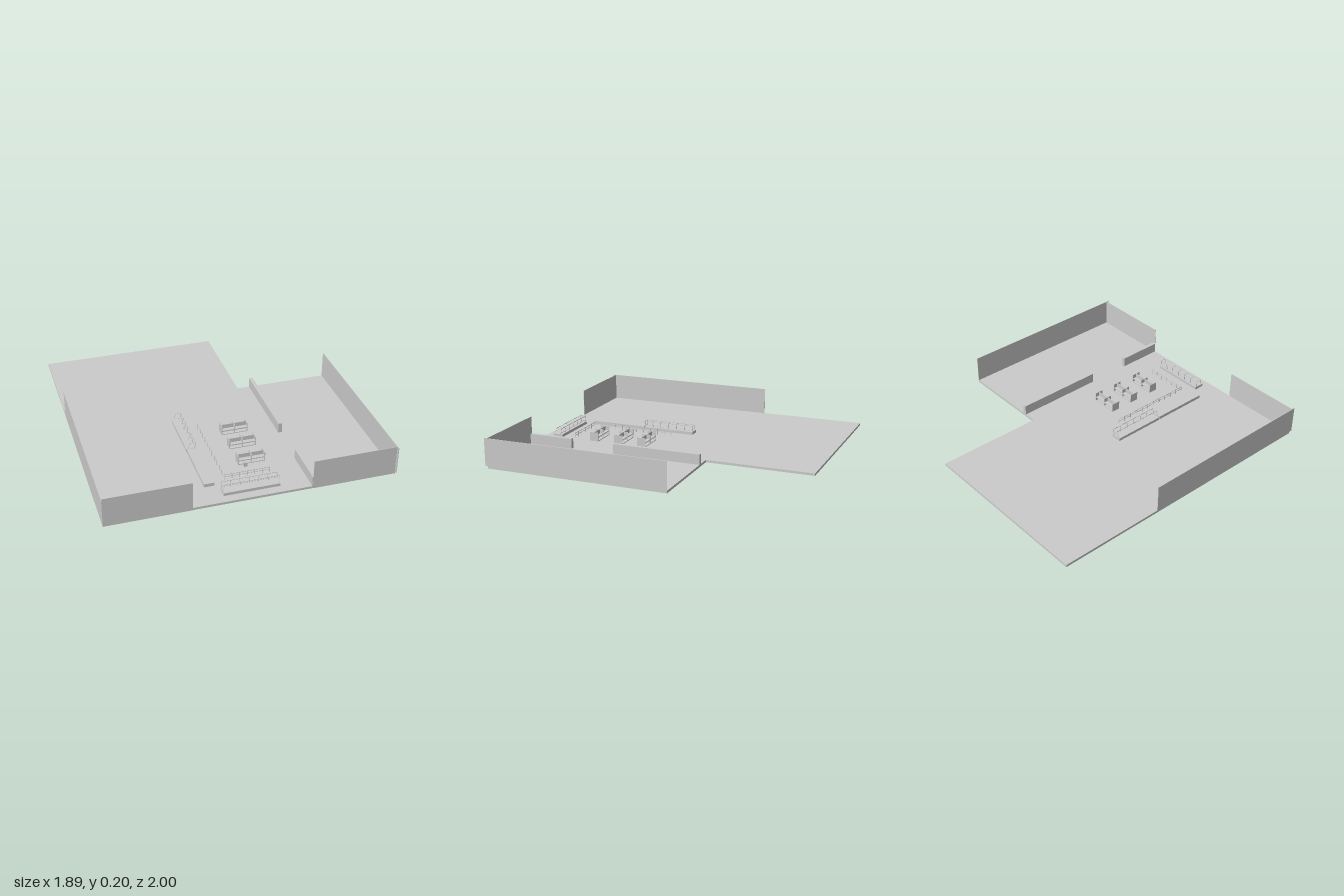
import * as THREE from 'three';

const FLOOR = 0.016;
const material = new THREE.MeshStandardMaterial({ color: 0xcccccc, flatShading: true, side: THREE.DoubleSide });

// Box given by its lower and upper limits on each axis
function box(parent, name, x0, x1, y0, y1, z0, z1) {
  const mesh = new THREE.Mesh(new THREE.BoxGeometry(x1 - x0, y1 - y0, z1 - z0), material);
  mesh.position.set((x0 + x1) / 2, (y0 + y1) / 2, (z0 + z1) / 2);
  mesh.name = name;
  parent.add(mesh);
  return mesh;
}

// Thin square bar between two points
function bar(parent, name, a, b, t = 0.003) {
  const from = new THREE.Vector3(...a), to = new THREE.Vector3(...b);
  const mesh = new THREE.Mesh(new THREE.BoxGeometry(t, t, from.distanceTo(to)), material);
  mesh.position.copy(from).lerp(to, 0.5);
  mesh.lookAt(to);
  mesh.name = name;
  parent.add(mesh);
}

function group(parent, name) {
  const g = new THREE.Group();
  g.name = name;
  parent.add(g);
  return g;
}

// Serving counter along local x; the customer side faces local -z
function servingCounter(parent, length) {
  const g = group(parent, 'servingCounter');
  const h = length / 2, top = 0.078;
  box(g, 'counterBase', -h, h, FLOOR, 0.036, -0.035, 0.035);
  const bays = 6;
  for (let i = 0; i <= bays; i++) {
    const x = -h + 0.002 + (length - 0.004) * i / bays;
    bar(g, 'guardPost', [x, 0.036, -0.022], [x, top, -0.03]);
    bar(g, 'guardBracket', [x, top, -0.03], [x, top, 0.008], 0.002);
  }
  for (const z of [-0.03, 0.008]) bar(g, 'guardRail', [-h, top, z], [h, top, z]);
  bar(g, 'trayRail', [-h, 0.045, -0.024], [h, 0.045, -0.024], 0.002);
  for (const x of [-h + 0.002, h - 0.002]) bar(g, 'rearPost', [x, 0.036, 0.024], [x, top, 0.008], 0.002);
  return g;
}

// Two-sided shelf unit with a central back panel and dividers
function shelfUnit(parent, z) {
  const g = group(parent, 'shelfUnit');
  const x0 = 0.012, x1 = 0.193, d = 0.031, t = 0.002;
  box(g, 'backPanel', x0, x1, FLOOR, 0.078, z - t, z + t);
  for (const x of [x0 + t, (x0 + x1) / 2, x1 - t]) box(g, 'divider', x - t, x + t, FLOOR, 0.078, z - d, z + d);
  for (const y of [FLOOR, 0.044]) box(g, 'shelf', x0, x1, y, y + 0.005, z - d, z + d);
}

// Queue railing between two floor points
function railing(parent, x0, z0, x1, z1, posts) {
  const g = group(parent, 'queueRailing');
  for (let i = 0; i <= posts; i++) {
    const x = x0 + (x1 - x0) * i / posts, z = z0 + (z1 - z0) * i / posts;
    bar(g, 'railingPost', [x, FLOOR, z], [x, 0.054, z]);
  }
  for (const y of [0.036, 0.052]) bar(g, 'rail', [x0, y, z0], [x1, y, z1]);
}

export function createModel() {
  const model = new THREE.Group();
  model.name = 'diningHall';

  // L-shaped floor slab
  const plan = [[-0.945, -1], [0.298, -1], [0.298, -0.265], [0.945, -0.265], [0.945, 0.98], [-0.945, 0.98]];
  const outline = new THREE.Shape(plan.map(([x, z]) => new THREE.Vector2(x, -z)));
  const floorGeometry = new THREE.ExtrudeGeometry(outline, { depth: FLOOR, bevelEnabled: false });
  const floor = new THREE.Mesh(floorGeometry.rotateX(-Math.PI / 2), material);
  floor.name = 'floor';
  model.add(floor);

  // Outer walls, mirrored about the wide entrance
  for (const s of [-1, 1]) {
    const side = s < 0 ? 'right' : 'left';
    const x = s * 0.945;
    box(model, side + 'SideWall', x - 0.002, x + 0.002, FLOOR, 0.203, -0.265, 1);
    box(model, side + 'FrontWall', Math.min(x, s * 0.388), Math.max(x, s * 0.388), 0, 0.203, 0.979, 0.982);
  }

  // Low partitions with a passage between them
  box(model, 'rearPartition', 0.384, 0.41, FLOOR, 0.085, -0.265, 0.353);
  box(model, 'frontPartition', 0.384, 0.41, FLOOR, 0.085, 0.663, 0.978);

  // Serving counters and the plain worktop
  servingCounter(model, 0.37).position.set(0.01, 0, 0.885);
  const sideCounter = servingCounter(model, 0.37);
  sideCounter.position.set(-0.233, 0, 0.213);
  sideCounter.rotation.y = -Math.PI / 2;
  box(model, 'worktop', -0.266, -0.198, FLOOR, 0.038, 0.403, 0.8);

  // Shelf units and a small bin
  for (const z of [0.246, 0.418, 0.603]) shelfUnit(model, z);
  box(model, 'bin', 0.041, 0.064, FLOOR, 0.045, 0.642, 0.664);

  // Queue railings meeting at a corner
  railing(model, -0.12, 0.155, -0.12, 0.757, 11);
  railing(model, -0.12, 0.757, 0.18, 0.757, 6);

  return model;
}
